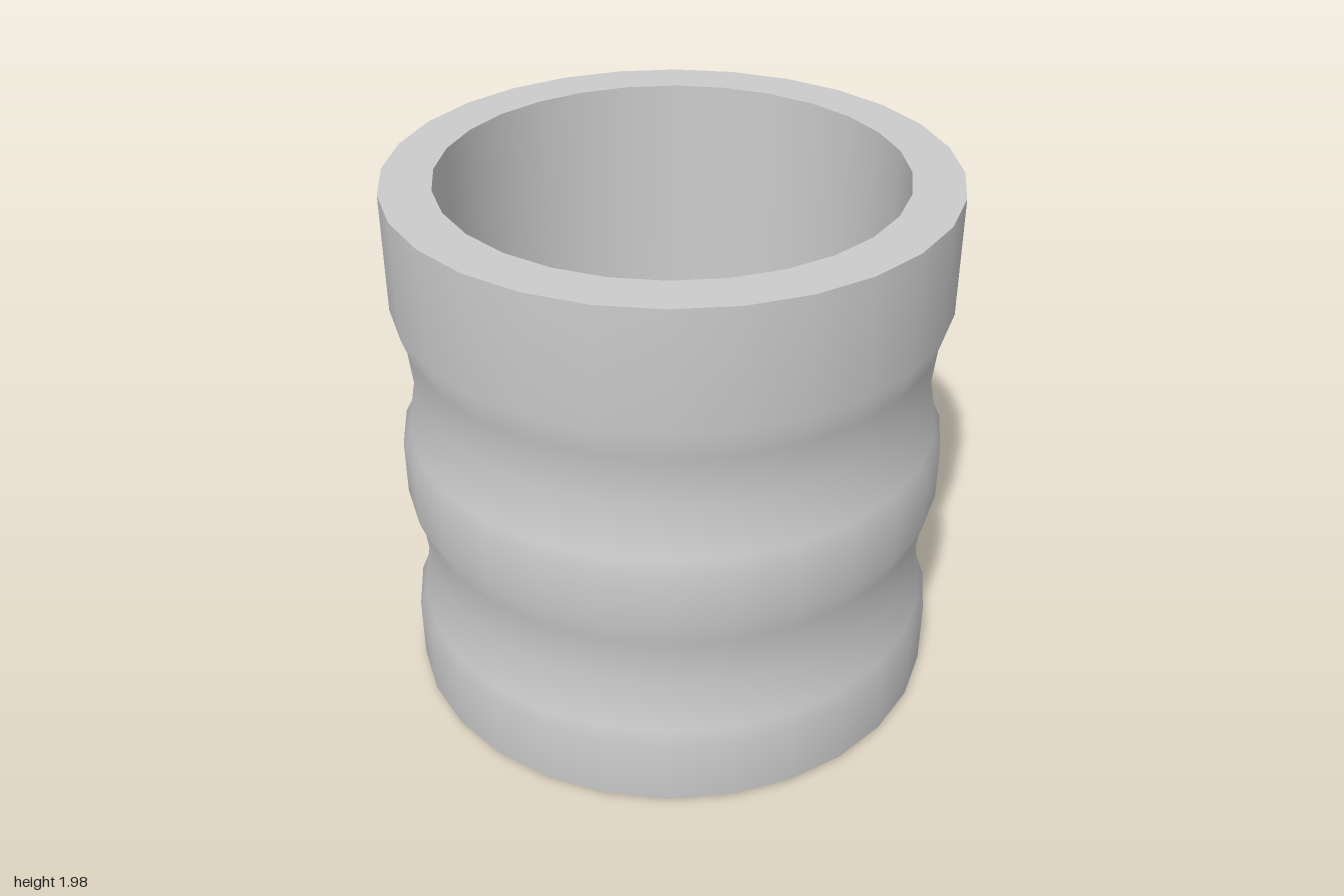
import * as THREE from 'three';

const SEGMENTS = 28;
const HEIGHT = 1.98;

// Revolves a [radius, height] profile; separate profiles keep sharp edges between them.
function revolve(name, profile, material) {
  const points = profile.map(([r, y]) => new THREE.Vector2(r, y));
  const mesh = new THREE.Mesh(new THREE.LatheGeometry(points, SEGMENTS), material);
  mesh.name = name;
  return mesh;
}

export function createModel() {
  const group = new THREE.Group();
  group.name = 'groovedCup';
  const material = new THREE.MeshStandardMaterial({ color: 0xcccccc });

  // Outer wall with two shallow waists, softened at the foot
  const wall = [
    [0.98, 0], [1, 0.012],
    [1, 0.26], [0.975, 0.31], [0.945, 0.5], [0.965, 0.69], [1, 0.79],
    [1, 1.0], [0.975, 1.05], [0.94, 1.24], [0.96, 1.43], [1, 1.55],
    [1, HEIGHT],
  ];
  group.add(revolve('outerWall', wall, material));

  // Flat underside and flat rim
  group.add(revolve('underside', [[0, 0], [0.98, 0]], material));
  group.add(revolve('rim', [[1, HEIGHT], [0.82, HEIGHT]], material));

  // Hollow interior with a rounded corner at the floor
  const interior = [[0.82, HEIGHT], [0.82, 0.26], [0.805, 0.21], [0.76, 0.18], [0, 0.18]];
  group.add(revolve('interior', interior, material));

  return group;
}
